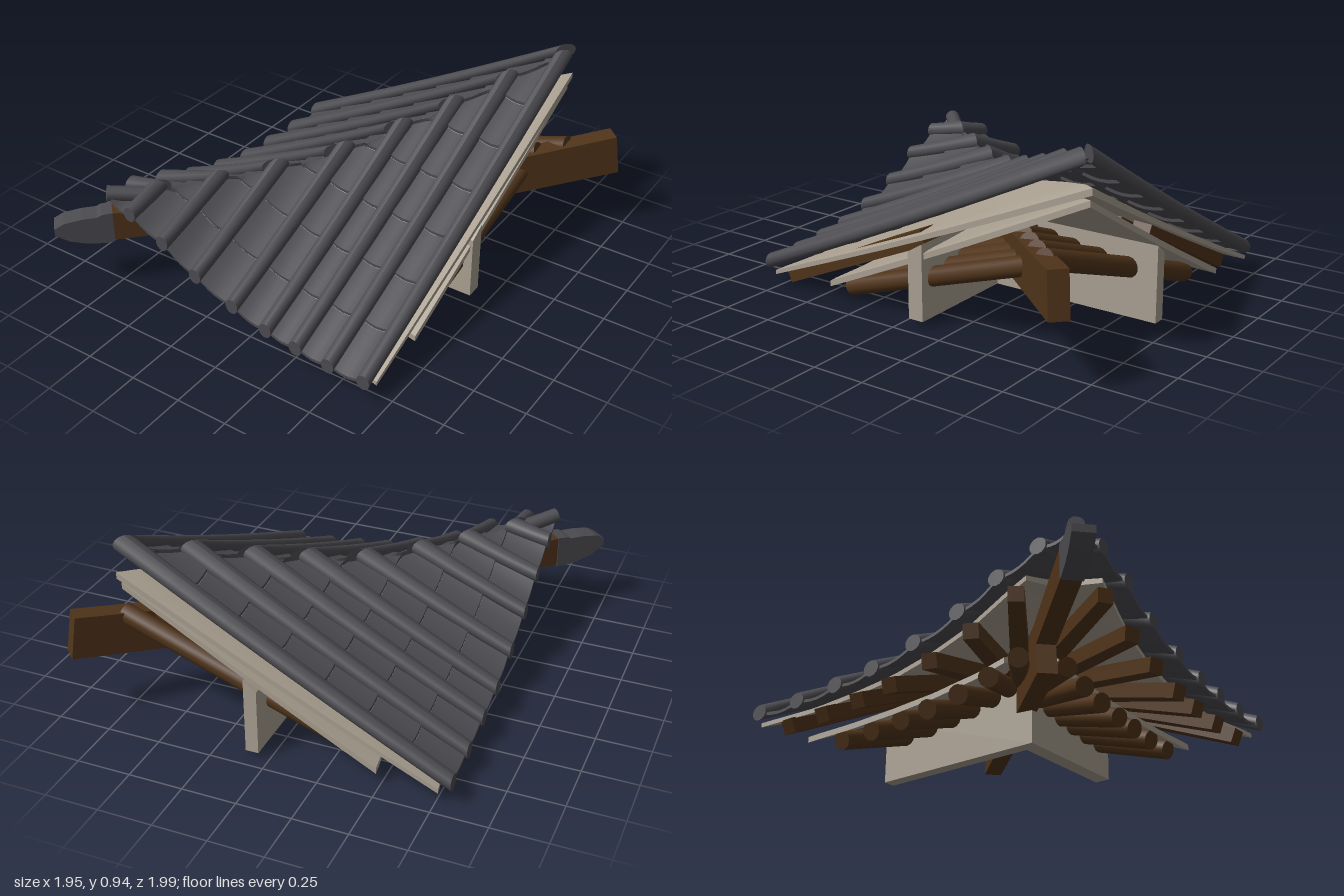
import * as THREE from 'three';
import { mergeGeometries } from 'three/addons/utils/BufferGeometryUtils.js';

const mat = (name, color, side = THREE.FrontSide) => {
  const m = new THREE.MeshStandardMaterial({ color, side });
  m.name = name;
  return m;
};
const lerp = THREE.MathUtils.lerp;

// Hip and eave heights, one value per step counted from the back corner
const HIP = [0.91, 0.818, 0.72, 0.635, 0.56, 0.53, 0.52, 0.515, 0.51];
const EAVE = [0.11, 0.112, 0.13, 0.155, 0.21, 0.28, 0.385, 0.47, 0.51];
// Steps at which the cover tiles lie on the front and side slopes
const FRONT_LINES = [0, 1.017, 1.97, 2.87, 3.88, 5.02, 6.03, 7.05];
const SIDE_LINES = [0, 1.046, 2.07, 3.02, 4.06, 5.115, 6.03, 6.98];
const EAVE_Z = 0.82;

const sample = (a, s) => {
  const c = Math.min(Math.max(s, 0), 7.999), i = Math.floor(c);
  return lerp(a[i], a[i + 1], c - i);
};
const hipX = (s) => 0.645 - 0.177 * s;
const hipZ = (s) => -0.905 + 0.218 * s;
const eaveX = (s) => -0.815 + 0.006 * s;

// Point on one roof slope: s = step along the eave, w = 0 at the hip and 1 at the eave
function slope(left, s, w) {
  const y = lerp(sample(HIP, s), sample(EAVE, s), w) - 0.012 * Math.sin(Math.PI * w) * (1 - s / 8);
  return left
    ? new THREE.Vector3(lerp(hipX(s), eaveX(s), w), y, hipZ(s))
    : new THREE.Vector3(hipX(s), y, lerp(hipZ(s), EAVE_Z, w));
}

// Height of a slope above a ground position
function roofHeight(left, x, z) {
  const s = left ? (z + 0.905) / 0.218 : (0.645 - x) / 0.177;
  const w = left ? (x - hipX(s)) / (eaveX(s) - hipX(s)) : (z - hipZ(s)) / (EAVE_Z - hipZ(s));
  return slope(left, s, w).y;
}

// Move every vertex of a geometry by a rule
function warp(geo, rule) {
  const p = geo.attributes.position;
  for (let i = 0; i < p.count; i++) {
    const q = rule(p.getX(i), p.getY(i), p.getZ(i));
    p.setXYZ(i, q.x, q.y, q.z);
  }
  geo.computeVertexNormals();
  return geo;
}

export function createModel() {
  const tile = mat('slateTile', 0x4c4b50, THREE.DoubleSide);
  const wood = mat('darkWood', 0x50341a);
  const board = mat('paleBoard', 0xaaa091, THREE.DoubleSide);
  const model = new THREE.Group();
  model.name = 'roofCorner';
  const add = (parent, name, geo, material) => {
    const m = new THREE.Mesh(geo, material);
    m.name = name;
    parent.add(m);
    return m;
  };

  // Straight bar from a to b; its geometry lies along z with unit length
  const bar = (parent, name, geo, a, b) => {
    geo.scale(1, 1, a.distanceTo(b));
    const m = add(parent, name, geo, wood);
    m.position.copy(a).add(b).multiplyScalar(0.5);
    m.lookAt(b);
  };

  for (const left of [false, true]) {
    const side = new THREE.Group();
    side.name = left ? 'sideSlope' : 'frontSlope';
    model.add(side);
    const lines = left ? SIDE_LINES : FRONT_LINES;

    // Round cover tiles, mitred along the hip; the front verge tile stops a little short
    const covers = lines.map((s, i) =>
      warp(new THREE.CylinderGeometry(1, 1, 1, 14, 6), (x, y, z) => {
        const w = lerp(i === 0 && !left ? 0.02 : 0, 1, y + 0.5);
        const p = slope(left, s + x * 0.185, w);
        p.y = slope(left, s, w).y + z * 0.037;
        return p;
      }));
    add(side, 'coverTiles', mergeGeometries(covers), tile);

    // Overlapping sagging pan tiles between the covers
    const pans = [];
    const step = left ? 0.195 : 0.236;
    const run = (s) => (left ? hipX(s) - eaveX(s) : EAVE_Z - hipZ(s));
    lines.forEach((start, i) => {
      const end = i === 7 ? 7.7 : lines[i + 1];
      for (let k = 0; k * step < run(start); k++) {
        pans.push(warp(new THREE.BoxGeometry(1, 1, 1, 6, 1, 2), (x, h, v) => {
          const s = lerp(start, end, x + 0.5), len = Math.max(run(s), 0.001);
          const along = 0.5 - v;
          const d = Math.min((k + along) * step + 0.01, len);
          const p = slope(left, s, 1 - d / len);
          p.y += 0.016 * (1 - along) - 0.02 - 0.022 * Math.sin(Math.PI * (x + 0.5)) + h * 0.014;
          return p;
        }));
      }
    });
    add(side, 'panTiles', mergeGeometries(pans), tile);

    // Upper and lower sheathing boards, both narrowing toward the corner
    add(side, 'upperSheathing', warp(new THREE.BoxGeometry(1, 1, 1, 24, 1, 8), (x, h, v) => {
      const s = lerp(-0.17, 6.5, x + 0.5);
      const w = (v + 0.5) * (s < 1 ? lerp(0.965, 0.9, Math.max(s, 0)) : lerp(0.9, 0.76, (s - 1) / 5.5));
      const p = slope(left, s, w);
      p.y += lerp(lerp(-0.125, -0.06, Math.min(1, Math.max(s, 0) / 3)), -0.05, w) + (h - 0.5) * lerp(0.03, 0.02, w);
      return p;
    }), board);
    add(side, 'lowerSheathing', warp(new THREE.BoxGeometry(1, 1, 1, 20, 1, 6), (x, h, v) => {
      const s = lerp(-0.1, 4.6, x + 0.5), w = (v + 0.5) * (6.12 - 0.15 * Math.max(s, 0) - s) / (7.9 - s);
      const p = slope(left, s, w);
      p.y += -0.18 + (h - 0.5) * 0.028;
      return p;
    }), board);

    // Fanned rafters: round ones off the hip beam, square ones above them
    const rafters = new THREE.Group();
    rafters.name = 'rafters';
    side.add(rafters);
    [0.57, 0.4, 0.23, 0.08, -0.1, -0.28, -0.47].forEach((tx, k) => {
      const tip = left
        ? new THREE.Vector3(-0.72, 0, -0.905 + 0.218 * (0.645 - tx) / 0.177)
        : new THREE.Vector3(tx, 0, 0.73);
      const bx = left ? lerp(0.76, 0.14, k / 6) : lerp(0.6, 0.12, k / 6);
      const root = new THREE.Vector3(bx, (left ? 0.515 : 0.435) - 0.16 * (0.93 - bx), -bx - 0.02);
      const at = (goal, drop) => {
        const f = left ? (goal - root.x) / (tip.x - root.x) : (goal - root.z) / (tip.z - root.z);
        const p = root.clone().lerp(tip, f);
        p.y = roofHeight(left, p.x, p.z) - drop;
        return p;
      };
      bar(rafters, 'roundRafter', new THREE.CylinderGeometry(0.046, 0.046, 1, 14).rotateX(Math.PI / 2),
        root, at(left ? -0.39 : 0.37, 0.248));
      const flying = warp(new THREE.BoxGeometry(0.09, 0.075, 1), (x, y, z) =>
        new THREE.Vector3(x * (z > 0 ? 0.75 : 1), y * (z > 0 ? 0.9 : 1), z));
      bar(rafters, 'flyingRafter', flying,
        at(left ? 0.0 : -0.08, 0.12 + 0.014 * k), at(left ? -0.72 : 0.74, 0.108));
    });
  }

  // Hip beams on the diagonal, drawn as side profiles
  const hip = new THREE.Group();
  hip.name = 'hipBeams';
  hip.rotation.y = 0.797;
  model.add(hip);
  const profile = (name, pts, width, material) => {
    const shape = new THREE.Shape(pts.map(([t, y]) => new THREE.Vector2(t, y)));
    const geo = new THREE.ExtrudeGeometry(shape, { depth: width, bevelEnabled: false });
    add(hip, name, geo.translate(0, 0, -width / 2 - 0.004), material);
  };
  profile('lowerHipBeam', [[1.345, 0.33], [1.315, 0.53], [-0.45, 0.32], [-0.5, 0.13]], 0.088, wood);
  profile('upperHipBeam', [[0.2, 0.34], [0.2, 0.45], [-0.4, 0.4], [-1.09, 0.42], [-1.09, 0.275], [-0.5, 0.28]], 0.088, wood);
  profile('beamEndCap', [[-1.08, 0.27], [-1.08, 0.425], [-1.13, 0.42], [-1.15, 0.41], [-1.22, 0.408], [-1.3, 0.395],
    [-1.345, 0.37], [-1.345, 0.335], [-1.28, 0.295], [-1.2, 0.272], [-1.12, 0.265]], 0.096, tile);

  // Short ridge tile at the foot of the hip
  const foot = add(model, 'hipFootTile', new THREE.CylinderGeometry(0.036, 0.036, 0.2, 14).rotateX(Math.PI / 2), tile);
  foot.position.set(-0.685, 0.502, 0.725);
  foot.lookAt(-0.755, 0.518, 0.795);

  // L-shaped wall plate under the rafters, its top sloping up to the inner side
  const plan = new THREE.Shape([[0.05, 0.03], [0.05, 0.935], [0.11, 0.935], [0.11, 0.105], [0.675, 0.105], [0.675, 0.03]]
    .map(([x, y]) => new THREE.Vector2(x, y)));
  const wall = new THREE.ExtrudeGeometry(plan, { depth: 0.31, bevelEnabled: false });
  wall.rotateX(-Math.PI / 2).translate(0, 0.03, 0);
  add(model, 'wallPlate', warp(wall, (x, y, z) =>
    new THREE.Vector3(x, y > 0.2 && x > 0.1 && z < -0.1 ? y + 0.045 : y, z)), board);

  return model;
}
